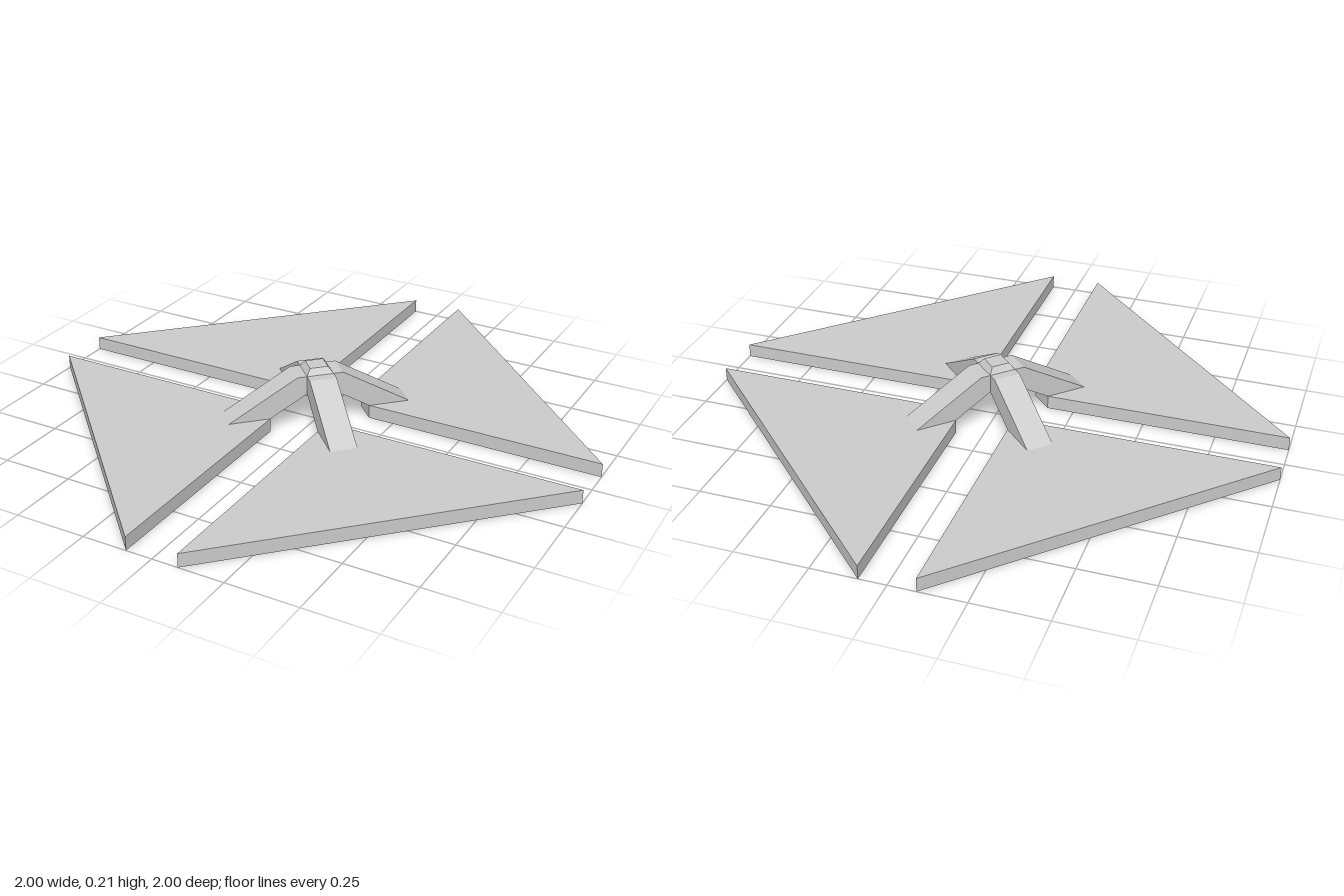
import * as THREE from 'three';

const material = new THREE.MeshStandardMaterial({ color: 0xcccccc, flatShading: true });

function part(name, geometry, y = 0) {
  const mesh = new THREE.Mesh(geometry, material);
  mesh.name = name;
  mesh.position.y = y;
  return mesh;
}

// Extrudes a flat outline given as [x, y] points
function slab(points, depth) {
  const shape = new THREE.Shape(points.map(([x, y]) => new THREE.Vector2(x, y)));
  return new THREE.ExtrudeGeometry(shape, { depth, bevelEnabled: false });
}

export function createModel() {
  const model = new THREE.Group();
  model.name = 'fourPanelFrame';

  const gap = 0.092;       // half the gap between panels
  const cut = 0.158;       // end of the blunted inner corner
  const thickness = 0.048;
  const half = 0.047;      // half the arm width
  const under = 0.125, shoulder = 0.19, top = 0.212;

  // Triangular panel with its inner corner cut to the arm's width
  const panel = slab([[cut, gap], [1, gap], [gap, 1], [gap, cut]], thickness);
  panel.rotateX(-Math.PI / 2);

  // Sloping arm: profile of distance from centre against height
  const arm = slab([
    [half, under], [0.177, thickness], [0.322, thickness], [0.081, shoulder], [half, shoulder],
  ], half * 2);
  arm.translate(0, 0, -half);
  arm.rotateY(Math.PI / 4);

  for (let i = 0; i < 4; i++) {
    const quarter = new THREE.Group();
    quarter.name = `quarter${i + 1}`;
    quarter.add(part('panel', panel), part('arm', arm));
    quarter.rotation.y = i * Math.PI / 2;
    model.add(quarter);
  }

  // Square hub joining the arms, with a tapered cap
  const r = half * Math.SQRT2;
  model.add(part('hub', new THREE.CylinderGeometry(r, r, shoulder - under, 4), (shoulder + under) / 2));
  model.add(part('hubCap', new THREE.CylinderGeometry(0.045, r, top - shoulder, 4), (top + shoulder) / 2));
  return model;
}
